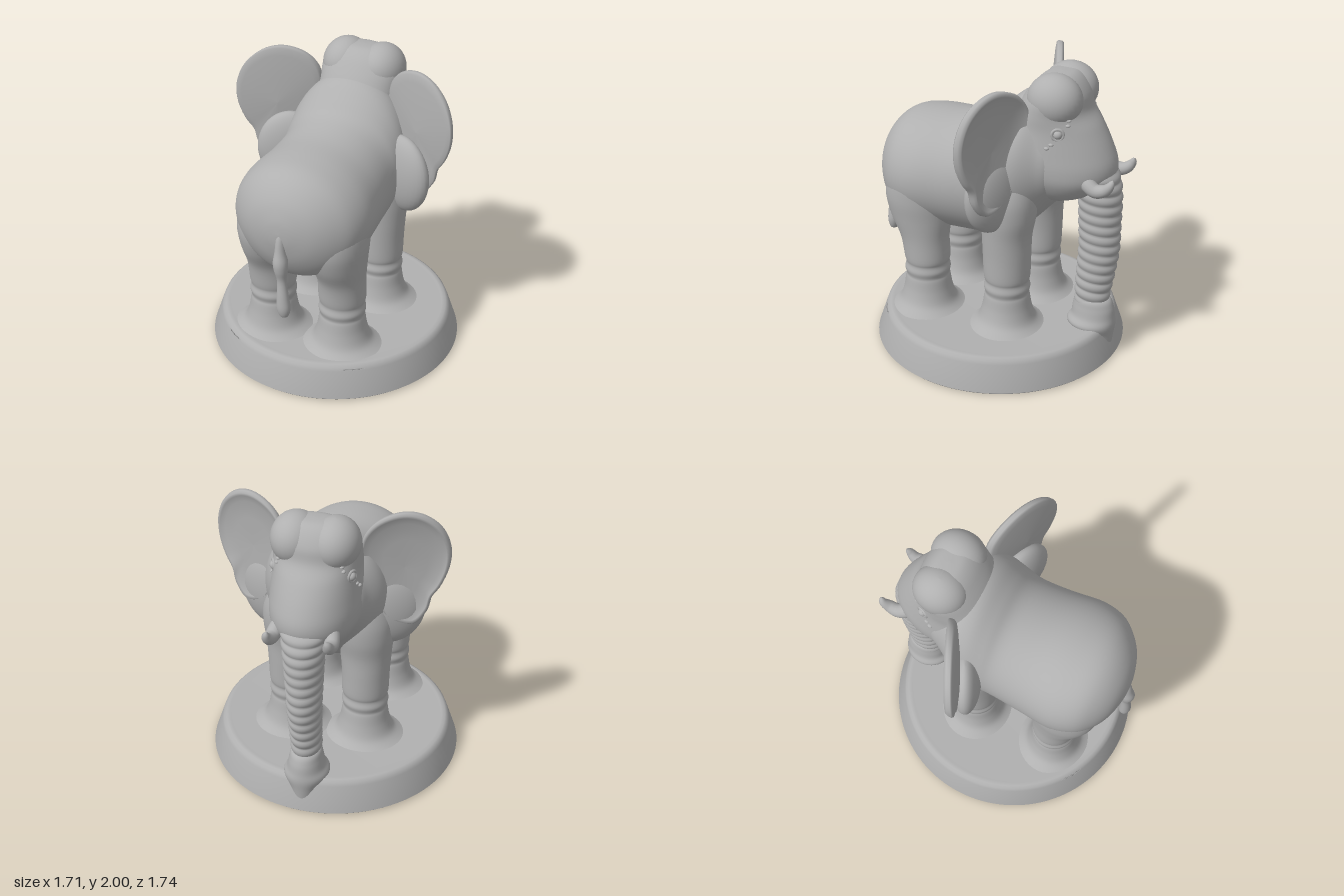
import * as THREE from 'three';

const stone = new THREE.MeshStandardMaterial({ color: 0xb0b0b0 });
stone.name = 'stone grey';

// Joins rings of points into a closed smooth skin, always facing outwards
function skin(rings) {
  const n = rings[0].length, pos = [], idx = [];
  rings.forEach(r => r.forEach(p => pos.push(p.x, p.y, p.z)));
  for (let i = 0; i < rings.length - 1; i++) {
    for (let j = 0; j < n; j++) {
      const a = i * n + j, b = i * n + (j + 1) % n;
      idx.push(a, b, b + n, a, b + n, a + n);
    }
  }
  // end caps
  [0, rings.length - 1].forEach((e, k) => {
    for (let j = 1; j < n - 1; j++) {
      if (k) idx.push(e * n, e * n + j, e * n + j + 1);
      else idx.push(0, j + 1, j);
    }
  });
  const v = i => new THREE.Vector3().fromArray(pos, i * 3);
  let volume = 0;
  for (let i = 0; i < idx.length; i += 3) volume += v(idx[i]).dot(v(idx[i + 1]).cross(v(idx[i + 2])));
  if (volume < 0) idx.reverse();
  const g = new THREE.BufferGeometry();
  g.setAttribute('position', new THREE.Float32BufferAttribute(pos, 3));
  g.setIndex(idx);
  g.computeVertexNormals();
  return g;
}

// Smoothly inserts sections between the given ones
function smooth(rows, steps) {
  const out = [], at = i => rows[Math.min(rows.length - 1, Math.max(0, i))];
  for (let i = 0; i < rows.length - 1; i++) {
    for (let s = 0; s < steps; s++) {
      const t = s / steps, t2 = t * t, t3 = t2 * t;
      out.push(rows[i].map((p1, k) => {
        const p0 = at(i - 1)[k], p2 = at(i + 1)[k], p3 = at(i + 2)[k];
        return 0.5 * (2 * p1 + (p2 - p0) * t + (2 * p0 - 5 * p1 + 4 * p2 - p3) * t2 + (3 * p1 - p0 - 3 * p2 + p3) * t3);
      }));
    }
  }
  out.push(rows[rows.length - 1]);
  return out;
}

const ellipse = (n, fn) => Array.from({ length: n }, (_, j) => fn(Math.cos(j / n * Math.PI * 2), Math.sin(j / n * Math.PI * 2)));

// Sections [y, x, z, rx, rz] stacked upwards
const loftY = (rows, steps = 5, n = 40) => skin(smooth(rows, steps).map(([y, x, z, rx, rz]) =>
  ellipse(n, (c, s) => new THREE.Vector3(x + Math.max(rx, 0.001) * c, y, z + Math.max(rz, 0.001) * s))));

// Sections [z, y, rx, ry] along the spine
const loftZ = (rows, steps = 5, n = 56) => skin(smooth(rows, steps).map(([z, y, rx, ry]) =>
  ellipse(n, (c, s) => new THREE.Vector3(Math.max(rx, 0.001) * c, y + Math.max(ry, 0.001) * s, z))));

function mirrored(geo) {
  const g = geo.clone().scale(-1, 1, 1);
  g.setIndex(Array.from(geo.index.array).reverse());
  g.computeVertexNormals();
  return g;
}

const ball = (x, y, z, rx, ry = rx, rz = rx, turn = 0) =>
  new THREE.SphereGeometry(1, 32, 20).scale(rx, ry, rz).rotateY(turn).translate(x, y, z);

export function createModel() {
  const model = new THREE.Group();
  model.name = 'elephantStatue';
  const add = (name, geo) => {
    const m = new THREE.Mesh(geo, stone);
    m.name = name;
    model.add(m);
  };
  const pair = (name, geo) => {
    add(name + 'Left', geo);
    add(name + 'Right', mirrored(geo));
  };

  // Round plinth
  const plinth = [[0, 0], [0.84, 0], [0.855, 0.015], [0.795, 0.19], [0.785, 0.215], [0.765, 0.229], [0.74, 0.232], [0.7, 0.226], [0, 0.226]];
  add('plinth', new THREE.LatheGeometry(plinth.map(p => new THREE.Vector2(...p)), 96));

  // Barrel, shoulders and neck
  add('body', loftZ([
    [0.825, 1.2, 0.01, 0.01], [0.815, 1.2, 0.1, 0.1], [0.775, 1.19, 0.23, 0.22], [0.7, 1.18, 0.34, 0.325],
    [0.6, 1.18, 0.42, 0.38], [0.45, 1.18, 0.455, 0.4], [0.25, 1.185, 0.435, 0.405], [0.1, 1.2, 0.42, 0.42],
    [0, 1.22, 0.415, 0.44], [-0.08, 1.26, 0.42, 0.47], [-0.18, 1.32, 0.42, 0.49], [-0.28, 1.38, 0.39, 0.45],
    [-0.38, 1.4, 0.33, 0.36], [-0.48, 1.42, 0.26, 0.26], [-0.55, 1.42, 0.05, 0.05],
  ]));

  // Head, tapering to the trunk
  add('head', loftY([
    [1.1, 0, -0.42, 0.02, 0.02], [1.14, 0, -0.43, 0.14, 0.12], [1.2, 0, -0.44, 0.22, 0.25], [1.3, 0, -0.42, 0.28, 0.37],
    [1.4, 0, -0.38, 0.3, 0.43], [1.52, 0, -0.36, 0.295, 0.41], [1.65, 0, -0.38, 0.28, 0.32],
    [1.75, 0, -0.39, 0.28, 0.24], [1.85, 0, -0.415, 0.275, 0.195], [1.93, 0, -0.425, 0.23, 0.14],
    [1.975, 0, -0.43, 0.14, 0.08], [1.985, 0, -0.43, 0.01, 0.01],
  ], 5, 56));
  pair('crownLobe', ball(0.127, 1.83, -0.435, 0.158, 0.17, 0.18));

  // Legs with ankle folds and spreading feet
  const foot = (z) => [
    [0.2, 0.255, z, 0.32, 0.29], [0.235, 0.255, z, 0.25, 0.23], [0.28, 0.255, z, 0.197, 0.19], [0.36, 0.255, z, 0.167, 0.165],
    [0.44, 0.255, z, 0.154, 0.152], [0.47, 0.255, z, 0.149, 0.146], [0.51, 0.255, z, 0.157, 0.155],
    [0.555, 0.255, z, 0.149, 0.146], [0.6, 0.255, z, 0.157, 0.155],
  ];
  pair('backLeg', loftY([...foot(0.43),
    [0.75, 0.257, 0.445, 0.158, 0.168], [0.9, 0.25, 0.47, 0.18, 0.215], [1.05, 0.24, 0.48, 0.205, 0.24],
    [1.2, 0.23, 0.47, 0.2, 0.22], [1.34, 0.22, 0.45, 0.12, 0.12], [1.38, 0.22, 0.45, 0.01, 0.01]]));
  pair('frontLeg', loftY([...foot(-0.17),
    [0.75, 0.257, -0.17, 0.16, 0.16], [0.9, 0.255, -0.17, 0.172, 0.165], [1.05, 0.25, -0.18, 0.19, 0.18],
    [1.2, 0.24, -0.18, 0.19, 0.18], [1.35, 0.22, -0.18, 0.14, 0.14], [1.42, 0.22, -0.18, 0.01, 0.01]]));

  // Trunk with overlapping folds
  const trunkCore = smooth([
    [0.36, 0, -0.685, 0.1, 0.125], [0.45, 0, -0.68, 0.1, 0.12], [0.6, 0, -0.695, 0.104, 0.13], [0.8, 0, -0.715, 0.112, 0.138],
    [1.0, 0, -0.713, 0.122, 0.143], [1.2, 0, -0.71, 0.135, 0.145], [1.33, 0, -0.695, 0.15, 0.135], [1.46, 0, -0.64, 0.15, 0.13],
  ], 20);
  add('trunk', skin(trunkCore.map(([y, x, z, rx, rz]) => {
    const fold = 0.012 * Math.abs(Math.sin((y - 0.42) / 0.073 * Math.PI)) - 0.009;
    return ellipse(40, (c, s) => new THREE.Vector3(x + (rx + fold) * c, y + s * 0.012, z + (rz + fold) * s));
  })));
  add('trunkTip', loftY([
    [0.03, 0, -0.74, 0.07, 0.08], [0.15, 0, -0.72, 0.1, 0.115], [0.23, 0, -0.68, 0.15, 0.165], [0.29, 0, -0.69, 0.125, 0.15],
    [0.36, 0, -0.69, 0.11, 0.14], [0.42, 0, -0.685, 0.09, 0.11], [0.44, 0, -0.68, 0.01, 0.01]]));

  // Short upturned tusks
  const path = new THREE.CatmullRomCurve3([[0.13, 1.37, -0.63], [0.175, 1.325, -0.69], [0.19, 1.295, -0.75],
    [0.19, 1.31, -0.81], [0.195, 1.35, -0.847], [0.185, 1.39, -0.862]].map(p => new THREE.Vector3(...p)));
  const frames = path.computeFrenetFrames(24);
  pair('tusk', skin(Array.from({ length: 25 }, (_, i) => {
    const t = i / 24, r = 0.052 * Math.sqrt(Math.max(0.001, 1 - t ** 2.2)), p = path.getPointAt(t);
    return ellipse(16, (c, s) => p.clone().addScaledVector(frames.normals[i], r * c).addScaledVector(frames.binormals[i], r * s));
  })));

  // Ears: dished front, rounded rim, thicker at the back
  const outline = new THREE.CatmullRomCurve3([[0.27, 1.83], [0.35, 1.92], [0.48, 1.965], [0.6, 1.94], [0.71, 1.845], [0.768, 1.7],
    [0.765, 1.56], [0.72, 1.43], [0.67, 1.35], [0.645, 1.25], [0.57, 1.16], [0.46, 1.19], [0.36, 1.3], [0.28, 1.5],
    [0.245, 1.7]].map(p => new THREE.Vector3(...p, 0)), true).getPoints(72).slice(0, 72);
  const earRings = [[0.01, 0.005], [0.5, 0], [0.8, -0.008], [0.92, -0.03], [0.97, -0.034], [1, -0.018], [1, 0.008],
    [0.97, 0.02], [0.85, 0.028], [0.5, 0.042], [0.01, 0.05]];
  pair('ear', skin(earRings.map(([s, dz]) => outline.map(p => {
    const x = 0.5 + (p.x - 0.5) * s, y = 1.57 + (p.y - 1.57) * s;
    return new THREE.Vector3(x, y, -0.29 + 0.42 * (x - 0.25) + dz);
  }))));
  pair('earRoot', ball(0.41, 1.25, -0.15, 0.23, 0.27, 0.1, -0.4));

  // Eyes with lids and small brow and cheek wrinkles
  pair('eye', ball(0.245, 1.655, -0.51, 0.03));
  pair('eyelid', new THREE.TorusGeometry(0.036, 0.01, 10, 28).rotateY(Math.PI / 2 + 0.42).translate(0.25, 1.655, -0.51));
  [[0.19, 1.765, -0.56], [0.2, 1.74, -0.56], [0.21, 1.71, -0.56], [0.27, 1.59, -0.475], [0.281, 1.565, -0.45]]
    .forEach(([x, y, z], i) => pair('wrinkle' + (i + 1), ball(x, y, z, 0.015, 0.01, 0.017)));

  // Hanging tail with a tuft
  add('tail', loftY([
    [0.6, 0.032, 0.822, 0.005, 0.005], [0.615, 0.032, 0.822, 0.03, 0.027], [0.67, 0.031, 0.822, 0.045, 0.041],
    [0.75, 0.027, 0.822, 0.04, 0.037], [0.87, 0.021, 0.818, 0.031, 0.03], [0.95, 0.017, 0.82, 0.044, 0.045],
    [1.01, 0.014, 0.818, 0.047, 0.05], [1.08, 0.011, 0.808, 0.036, 0.042], [1.18, 0.01, 0.79, 0.03, 0.04], [1.26, 0.01, 0.76, 0.02, 0.03]], 5, 24));

  return model;
}
